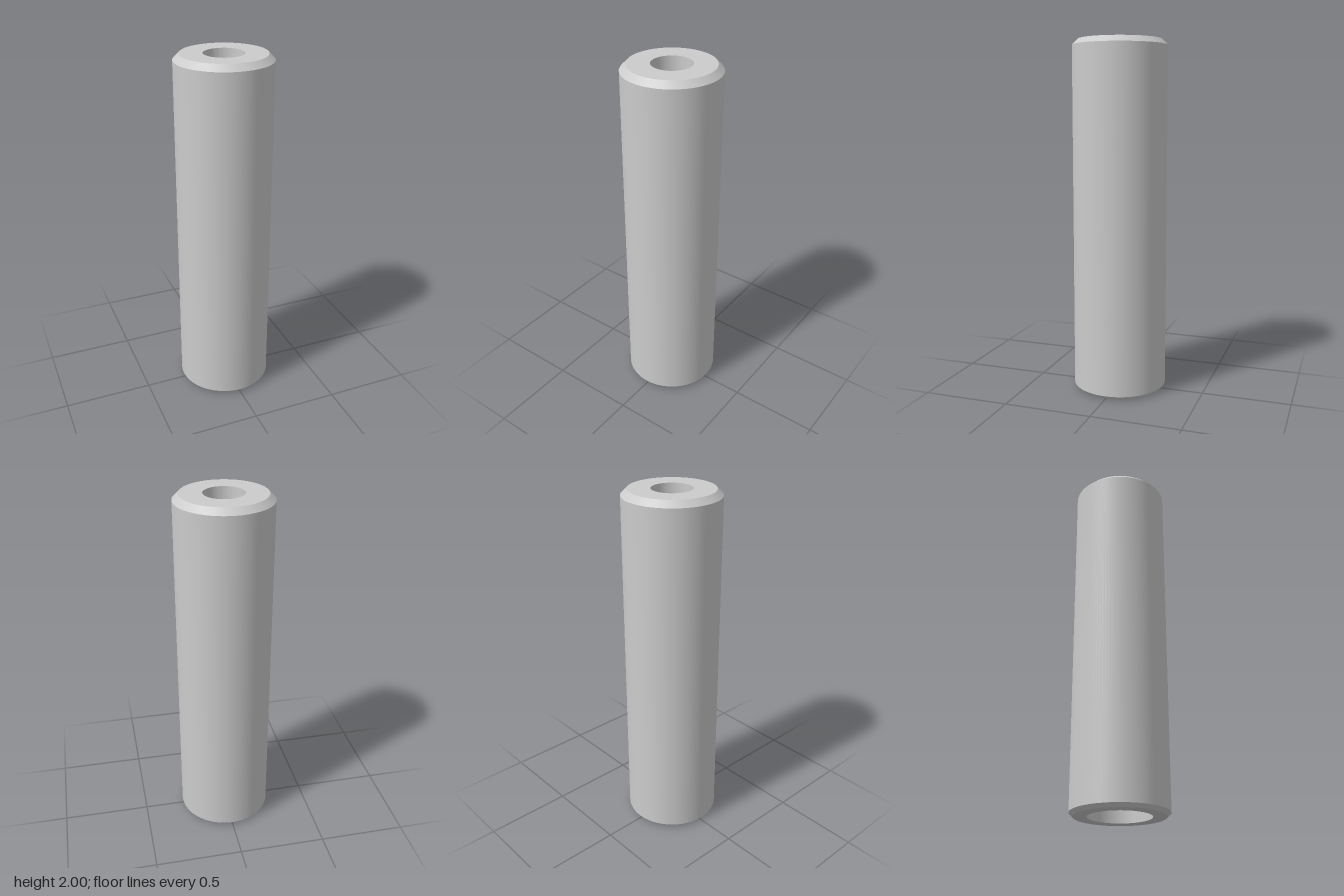
import * as THREE from 'three';
import { toCreasedNormals } from 'three/addons/utils/BufferGeometryUtils.js';

const SEGMENTS = 96;
const OUTER = 0.267;
const BORE = 0.11;
const COUNTERBORE = 0.172;
const TOP_CHAMFER = 0.033;
const BOTTOM_CHAMFER = 0.02;

export function createModel() {
  const group = new THREE.Group();
  group.name = 'boredPin';

  // Closed section, from the floor of the lower bore round to the floor of the upper bore
  const profile = [
    [0, 0.55], [BORE, 0.55], [BORE, 0.08],        // lower blind bore
    [COUNTERBORE, 0.08], [COUNTERBORE, 0],        // counterbore
    [OUTER - BOTTOM_CHAMFER, 0], [OUTER, BOTTOM_CHAMFER],
    [OUTER, 2 - TOP_CHAMFER], [OUTER - TOP_CHAMFER, 2],
    [BORE, 2], [BORE, 1.4], [0, 1.4],             // upper blind bore
  ].map(([r, y]) => new THREE.Vector2(r, y));

  const geometry = toCreasedNormals(new THREE.LatheGeometry(profile, SEGMENTS), 0.5);
  const body = new THREE.Mesh(geometry, new THREE.MeshStandardMaterial({ color: 0xcccccc }));
  body.name = 'pinBody';
  group.add(body);
  return group;
}
